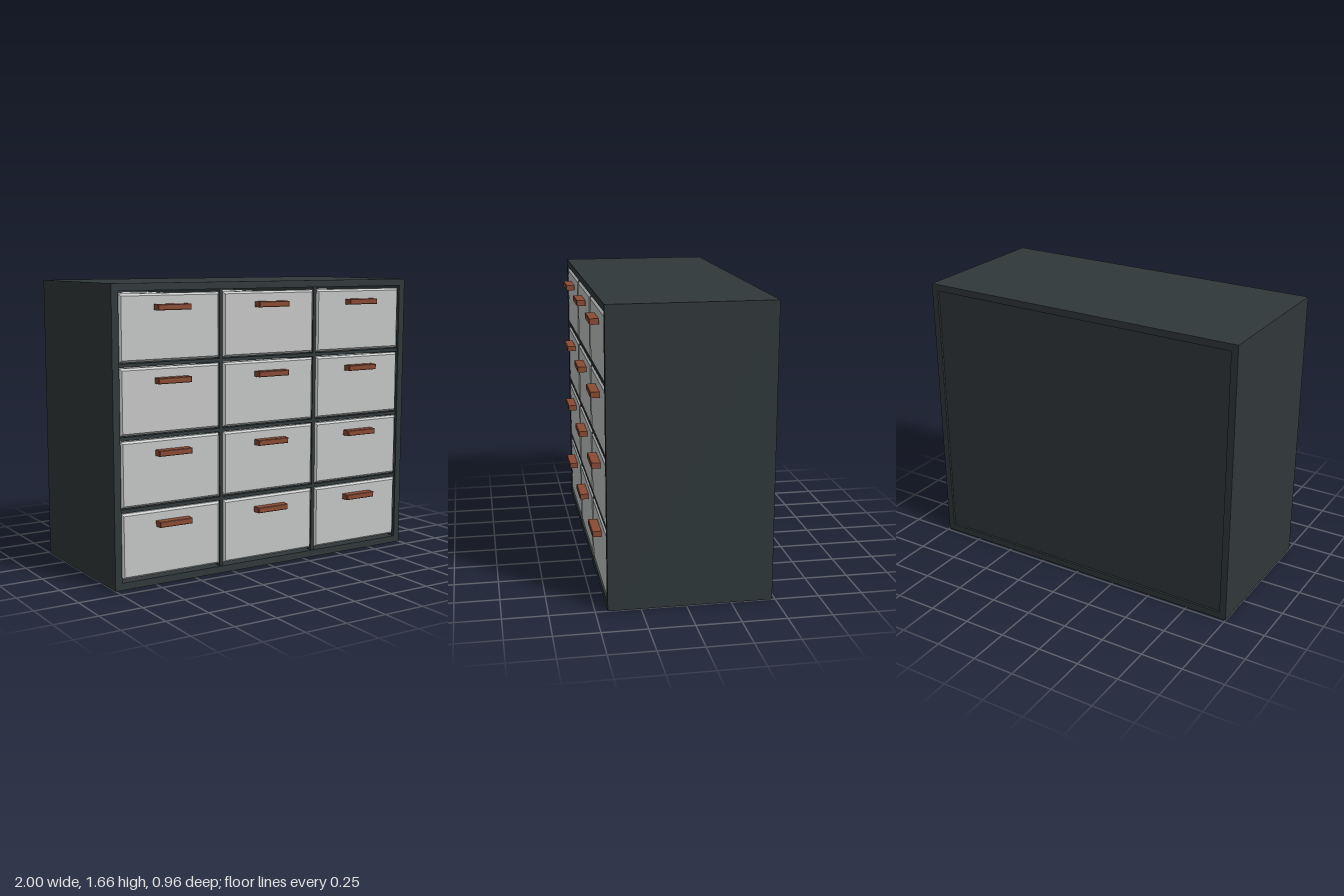
import * as THREE from 'three';

const W = 2, H = 1.665, FRONT = 0.432, BACK = -0.482;
const WALL = 0.04, DIVIDER = 0.02;
const COLS = 3, ROWS = 4, PITCH_X = 0.645, PITCH_Y = 0.396;
const MID_Y = H / 2;

const mat = (name, color) => Object.assign(new THREE.MeshStandardMaterial({ color }), { name });

function rect(w, h, Type = THREE.Shape) {
  const s = new Type();
  s.moveTo(-w / 2, -h / 2);
  s.lineTo(w / 2, -h / 2);
  s.lineTo(w / 2, h / 2);
  s.lineTo(-w / 2, h / 2);
  s.closePath();
  return s;
}

// Board of full size w x h x d with chamfered edges, centred on the origin
function chamferedBoard(w, h, d, bevel) {
  return new THREE.ExtrudeGeometry(rect(w - 2 * bevel, h - 2 * bevel), {
    depth: d - 2 * bevel, bevelEnabled: true, bevelSegments: 1,
    bevelSize: bevel, bevelThickness: bevel,
  }).center();
}

export function createModel() {
  const model = new THREE.Group();
  model.name = 'drawerCabinet';
  const charcoal = mat('charcoal', 0x30383a);
  const paleGrey = mat('paleGrey', 0xc5c7c6);
  const brown = mat('brown', 0x8a4b33);

  const add = (parent, name, geometry, material, x, y, z) => {
    const m = new THREE.Mesh(geometry, material);
    m.name = name;
    m.position.set(x, y, z);
    parent.add(m);
  };

  // Outer case: a rectangular tube running front to back
  const tube = rect(W, H);
  tube.holes.push(rect(W - 2 * WALL, H - 2 * WALL, THREE.Path));
  const caseGeo = new THREE.ExtrudeGeometry(tube, { depth: FRONT - BACK, bevelEnabled: false });
  add(model, 'case', caseGeo, charcoal, 0, MID_Y, BACK);

  // Back panel, slightly recessed
  add(model, 'backPanel', new THREE.BoxGeometry(W - 2 * WALL, H - 2 * WALL, 0.02),
    charcoal, 0, MID_Y, BACK + 0.022);

  // Dividers between the drawers
  const depth = FRONT - BACK - 0.04;
  const dividerZ = FRONT - 0.008 - depth / 2;
  const upright = new THREE.BoxGeometry(DIVIDER, H - 2 * WALL, depth);
  const shelf = new THREE.BoxGeometry(W - 2 * WALL, DIVIDER, depth);
  for (let c = 1; c < COLS; c++)
    add(model, 'uprightDivider', upright, charcoal, (c - COLS / 2) * PITCH_X, MID_Y, dividerZ);
  for (let r = 1; r < ROWS; r++)
    add(model, 'shelfDivider', shelf, charcoal, 0, MID_Y + (r - ROWS / 2) * PITCH_Y, dividerZ);

  // Drawers: chamfered front, box behind it and a bar handle
  const frontGeo = chamferedBoard(0.62, 0.366, 0.04, 0.012);
  const boxGeo = new THREE.BoxGeometry(0.58, 0.32, 0.78);
  const handleGeo = chamferedBoard(0.204, 0.032, 0.054, 0.003);
  for (let r = 0; r < ROWS; r++) {
    for (let c = 0; c < COLS; c++) {
      const drawer = new THREE.Group();
      drawer.name = 'drawer';
      drawer.position.set((c - (COLS - 1) / 2) * PITCH_X, MID_Y + (r - (ROWS - 1) / 2) * PITCH_Y, 0);
      add(drawer, 'drawerFront', frontGeo, paleGrey, 0, 0, FRONT - 0.022);
      add(drawer, 'drawerBox', boxGeo, paleGrey, 0, 0, FRONT - 0.04 - 0.39);
      add(drawer, 'handle', handleGeo, brown, 0, 0.109, 0.482 - 0.027);
      model.add(drawer);
    }
  }
  return model;
}
